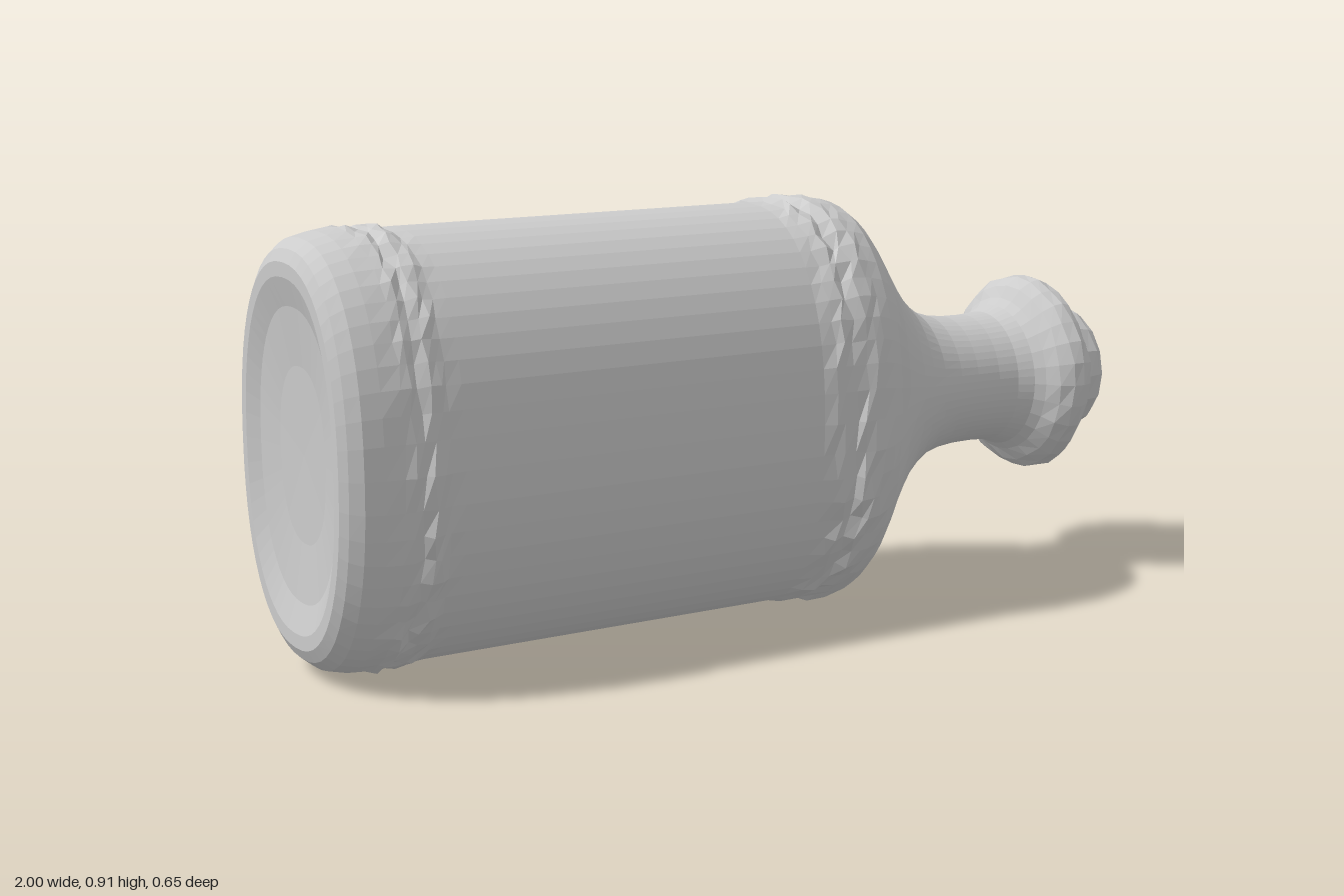
import * as THREE from 'three';

const AXIS_Y = 0.463, SEGMENTS = 56;

// Small repeatable noise in -1..1
function noise(i, j) {
  const s = Math.sin(i * 127.1 + j * 311.7) * 43758.5453;
  return (s - Math.floor(s)) * 2 - 1;
}

// Point on a rounded-oval section; the axis drifts slightly in z along x
function sectionPoint(x, halfY, halfZ, power, angle) {
  const bend = (v) => Math.sign(v) * Math.pow(Math.abs(v), 2 / power);
  return [x, AXIS_Y + halfY * bend(Math.cos(angle)), -0.01 - 0.02 * x + halfZ * bend(Math.sin(angle))];
}

// Skin a grid of points, rows along x and columns around the axis
function skin(name, rows, columns, pointAt) {
  const positions = [], index = [];
  for (let i = 0; i < rows; i++)
    for (let j = 0; j <= columns; j++) positions.push(...pointAt(i, j));
  const w = columns + 1;
  for (let i = 0; i < rows - 1; i++)
    for (let j = 0; j < columns; j++) {
      const a = i * w + j, b = a + 1, c = a + w, d = c + 1;
      index.push(a, b, c, b, d, c);
    }
  const geometry = new THREE.BufferGeometry();
  geometry.setAttribute('position', new THREE.Float32BufferAttribute(positions, 3));
  geometry.setIndex(index);
  geometry.computeVertexNormals();
  const material = new THREE.MeshStandardMaterial({ color: 0xcccccc, flatShading: true, side: THREE.DoubleSide });
  const mesh = new THREE.Mesh(geometry, material);
  mesh.name = name;
  return mesh;
}

// Loft stations: [x, halfY, halfZ, section power, roughness]
function loft(name, stations, segments) {
  return skin(name, stations.length, segments, (i, j) => {
    const [x, hy, hz, power, rough = 0] = stations[i];
    const k = j % segments;
    const r = rough * noise(i + 1, k + 1);
    return sectionPoint(x + rough * 1.4 * noise(i + 31, k + 7), hy + r, hz + r, power, (k / segments) * Math.PI * 2);
  });
}

export function createModel() {
  const group = new THREE.Group();
  group.name = 'bottle';

  // Hollowed base and rounded heel
  const base = [
    [-0.965, 0.001, 0.001, 2.3], [-0.968, 0.18, 0.12, 2.3], [-0.98, 0.3, 0.2, 2.3],
    [-0.998, 0.36, 0.235, 2.3], [-0.998, 0.39, 0.258, 2.3], [-0.985, 0.415, 0.277, 2.3],
    [-0.96, 0.435, 0.296, 2.3], [-0.92, 0.445, 0.303, 2.3],
  ];
  // Pair of rough raised rings near the heel
  const lowerRings = [
    [-0.88, 0.448, 0.308, 2.3, 0.003], [-0.86, 0.452, 0.312, 2.3, 0.005], [-0.84, 0.442, 0.302, 2.3, 0.005],
    [-0.82, 0.451, 0.311, 2.3, 0.005], [-0.8, 0.449, 0.309, 2.3, 0.005], [-0.78, 0.443, 0.303, 2.3, 0.002],
  ];
  // Straight body
  const body = [];
  for (let i = 0; i <= 14; i++) body.push([-0.75 + i * 0.06, 0.443, 0.303, 2.3]);
  // Pair of rough raised rings at the shoulder
  const upperRings = [
    [0.12, 0.447, 0.308, 2.3, 0.005], [0.145, 0.451, 0.312, 2.3, 0.006], [0.17, 0.443, 0.305, 2.3, 0.006],
    [0.195, 0.454, 0.314, 2.3, 0.006], [0.22, 0.453, 0.313, 2.3, 0.005], [0.245, 0.45, 0.309, 2.3, 0.003],
  ];
  // Shoulder sweeping into the round neck
  const neck = [
    [0.275, 0.442, 0.304, 2.25], [0.305, 0.422, 0.287, 2.2], [0.335, 0.39, 0.262, 2.15], [0.37, 0.346, 0.23, 2.1],
    [0.41, 0.289, 0.2, 2.05], [0.45, 0.238, 0.175, 2], [0.49, 0.198, 0.158, 2], [0.53, 0.17, 0.148, 2],
    [0.58, 0.155, 0.141, 2], [0.63, 0.149, 0.138, 2], [0.69, 0.148, 0.138, 2], [0.74, 0.151, 0.144, 2],
    [0.775, 0.164, 0.16, 2],
  ];
  group.add(loft('glassBody', [...base, ...lowerRings, ...body, ...upperRings, ...neck], SEGMENTS));

  // Flared lip
  group.add(loft('lip', [
    [0.77, 0.155, 0.153, 2], [0.795, 0.18, 0.178, 2], [0.815, 0.207, 0.207, 2, 0.002],
    [0.84, 0.225, 0.225, 2, 0.003], [0.868, 0.228, 0.228, 2, 0.003], [0.892, 0.218, 0.218, 2, 0.004],
    [0.902, 0.2, 0.2, 2, 0.003], [0.904, 0.165, 0.165, 2, 0.003], [0.885, 0.148, 0.148, 2],
    [0.88, 0.001, 0.001, 2],
  ], 28));

  // Stopper
  group.add(loft('stopper', [
    [0.86, 0.14, 0.14, 2], [0.91, 0.153, 0.153, 2, 0.002], [0.95, 0.151, 0.151, 2, 0.002],
    [0.98, 0.147, 0.147, 2, 0.002], [1, 0.135, 0.135, 2], [1, 0.001, 0.001, 2],
  ], 16));

  // Thin panel on the back whose edges sink into the body
  const rows = 16, columns = 20;
  group.add(skin('backPanel', rows + 3, columns + 2, (i, j) => {
    const edge = i === 0 || i === rows + 2 || j === 0 || j === columns + 2;
    const u = THREE.MathUtils.clamp(i - 1, 0, rows) / rows;
    const v = THREE.MathUtils.clamp(j - 1, 0, columns) / columns;
    const lift = edge ? -0.006 : 0.004;
    const angle = Math.PI * 1.5 + (v - 0.5) * 1.2;
    return sectionPoint(-0.73 + 0.8 * u, 0.443 + lift, 0.303 + lift, 2.3, angle);
  }));

  return group;
}
